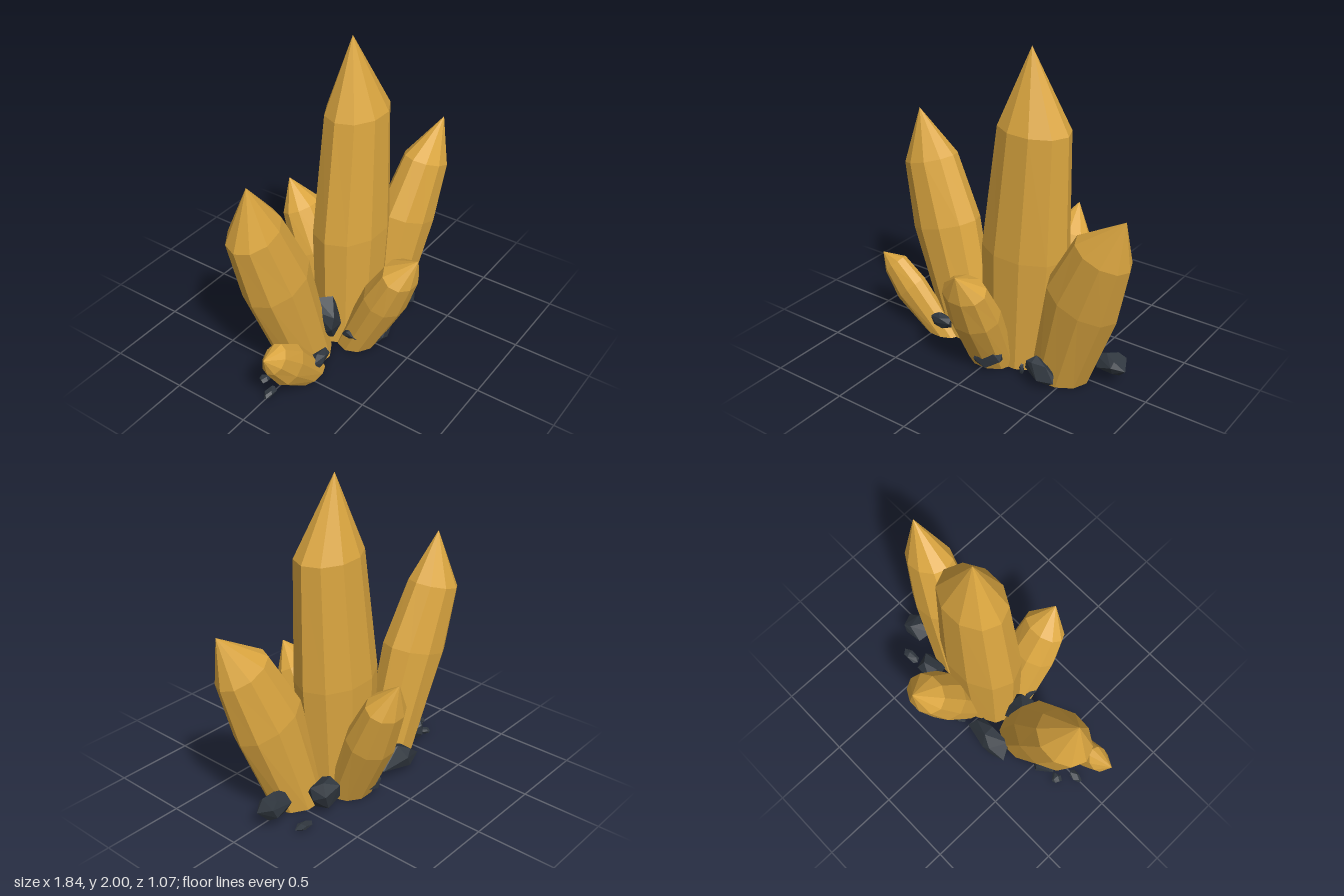
import * as THREE from 'three';
import { ConvexGeometry } from 'three/addons/geometries/ConvexGeometry.js';

const SIDES = 10;

// Seeded random numbers in 0..1
function seeded(seed) {
  let s = seed * 7919 + 17;
  return () => {
    s = (s * 16807) % 2147483647;
    return s / 2147483647;
  };
}

// Crystal: elliptical rings [x, y, z, radius, depth radius] from base to shoulder, then a tip.
// The base ring lies flat on the ground; the others lean square to the crystal's axis.
function crystalGeometry(rings, tip) {
  const top = new THREE.Vector3(...tip);
  const axis = top.clone().sub(new THREE.Vector3(...rings[0].slice(0, 3))).normalize();
  const lean = new THREE.Quaternion().setFromUnitVectors(new THREE.Vector3(0, 1, 0), axis);
  const loops = rings.map(([x, y, z, ru, rw], i) =>
    Array.from({ length: SIDES }, (_, k) => {
      const a = (k / SIDES) * Math.PI * 2;
      const p = new THREE.Vector3(Math.cos(a) * ru, 0, Math.sin(a) * rw);
      if (i > 0) p.applyQuaternion(lean);
      return p.add(new THREE.Vector3(x, y, z));
    }));
  const base = new THREE.Vector3(...rings[0].slice(0, 3));
  const last = loops[loops.length - 1];
  const points = [];
  for (let k = 0; k < SIDES; k++) {
    const n = (k + 1) % SIDES;
    points.push(base, loops[0][k], loops[0][n]);
    for (let i = 0; i < loops.length - 1; i++) {
      const [a, b, c, d] = [loops[i][k], loops[i][n], loops[i + 1][n], loops[i + 1][k]];
      points.push(a, d, c, a, c, b);
    }
    points.push(last[k], top, last[n]);
  }
  const geometry = new THREE.BufferGeometry().setFromPoints(points);
  geometry.computeVertexNormals(); // unshared corners give flat facets
  return geometry;
}

// Rock: convex hull of jittered points on an ellipsoid
function rockGeometry(rx, ry, rz, seed) {
  const rnd = seeded(seed);
  const points = [];
  const count = 13;
  for (let i = 0; i < count; i++) {
    const h = 1 - (2 * (i + 0.5)) / count;
    const a = i * 2.4 + rnd() * 0.9 + seed;
    const r = Math.sqrt(1 - h * h);
    const s = 0.9 + rnd() * 0.25;
    points.push(new THREE.Vector3(Math.cos(a) * r * rx * s, h * ry * s, Math.sin(a) * r * rz * s));
  }
  return new ConvexGeometry(points);
}

export function createModel() {
  const model = new THREE.Group();
  model.name = 'crystalCluster';
  const amber = new THREE.MeshStandardMaterial({ color: 0xdba640 });
  amber.name = 'amber';
  const slate = new THREE.MeshStandardMaterial({ color: 0x30373f });
  slate.name = 'slate';

  // Crystals
  const crystals = {
    mainCrystal: [[[0.1, 0, -0.01, 0.26, 0.19], [0.13, 0.75, -0.015, 0.29, 0.215],
      [0.182, 1.53, -0.015, 0.232, 0.178]], [0.15, 2, -0.03]],
    tallRightCrystal: [[[-0.32, 0, -0.05, 0.19, 0.15], [-0.535, 0.71, -0.09, 0.237, 0.18],
      [-0.675, 1.11, -0.12, 0.185, 0.148]], [-0.74, 1.435, -0.1]],
    tallLeftCrystal: [[[0.43, 0, 0.04, 0.19, 0.155], [0.605, 0.61, 0.095, 0.24, 0.172],
      [0.75, 0.965, 0.135, 0.182, 0.135]], [0.9, 1.21, 0.165]],
    frontCrystal: [[[-0.01, 0, 0.14, 0.155, 0.13], [0, 0.41, 0.33, 0.172, 0.14],
      [0.003, 0.62, 0.43, 0.147, 0.11]], [0.02, 0.755, 0.535]],
    backCrystal: [[[0.15, 0, -0.14, 0.15, 0.14], [0.17, 0.43, -0.325, 0.172, 0.15],
      [0.18, 0.695, -0.44, 0.14, 0.114]], [0.18, 0.87, -0.535]],
    smallCrystal: [[[-0.46, 0, 0.08, 0.13, 0.075], [-0.69, 0.255, 0.105, 0.13, 0.085],
      [-0.82, 0.393, 0.105, 0.095, 0.07]], [-0.92, 0.455, 0.11]],
  };
  for (const [name, [rings, tip]] of Object.entries(crystals)) {
    const mesh = new THREE.Mesh(crystalGeometry(rings, tip), amber);
    mesh.name = name;
    model.add(mesh);
  }

  // Rocks: position, radii, turn about z
  const rocks = [
    [-0.42, 0.115, 0.13, 0.09, 0.055, 0.045, -0.15],
    [-0.2, 0.25, 0.02, 0.09, 0.16, 0.1, 0.2],
    [-0.19, 0.11, -0.24, 0.18, 0.1, 0.09, 0.1],
    [0.04, 0.105, 0.26, 0.12, 0.085, 0.08, 0.3],
    [0.4, 0.115, 0.22, 0.12, 0.07, 0.065, -0.55],
    [0.73, 0.14, -0.06, 0.115, 0.075, 0.075, 0],
    [0.44, 0.15, -0.19, 0.11, 0.1, 0.085, 0.2],
    [-0.55, 0.1, -0.1, 0.09, 0.08, 0.07, 0.1],
    [0.1, 0.08, -0.26, 0.08, 0.07, 0.06, 0],
  ];
  const pebbles = [
    [0.64, 0.02, -0.21, 0.065, 0.018, 0.035, 0.1],
    [-0.75, 0.022, 0, 0.055, 0.018, 0.03, 0.2],
    [-0.67, 0.022, -0.1, 0.04, 0.018, 0.035, 0],
    [0.255, 0.05, 0.2, 0.015, 0.04, 0.02, 0],
    [-0.15, 0.13, 0.17, 0.025, 0.035, 0.06, 0.4],
  ];
  const scatter = (list, name, seed) => list.forEach(([x, y, z, rx, ry, rz, turn], i) => {
    const mesh = new THREE.Mesh(rockGeometry(rx, ry, rz, seed + i), slate);
    mesh.name = name + (i + 1);
    mesh.position.set(x, y, z);
    mesh.rotation.z = turn;
    model.add(mesh);
  });
  scatter(rocks, 'rock', 3);
  scatter(pebbles, 'pebble', 31);

  return model;
}
